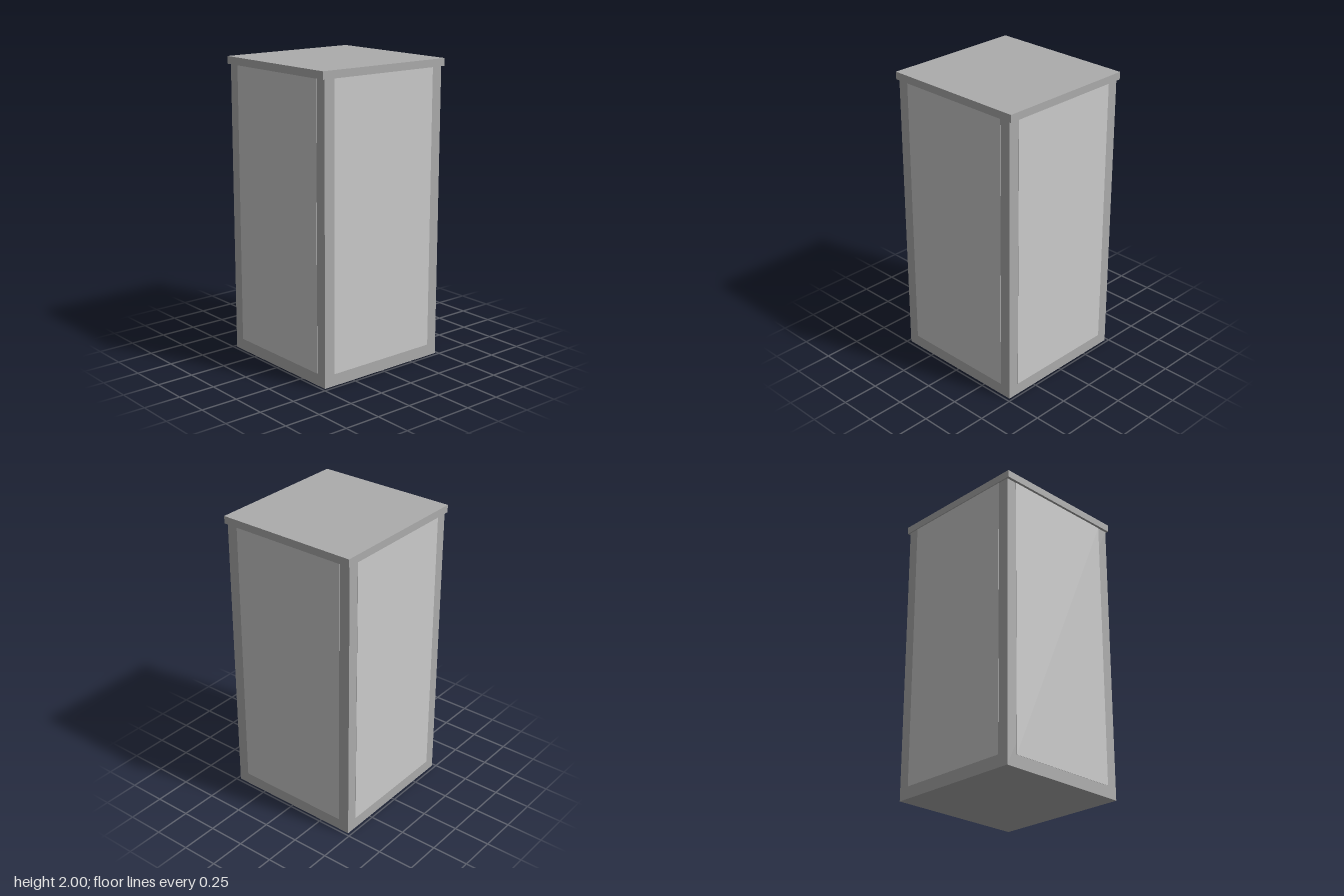
import * as THREE from 'three';

const W = 0.962, D = 0.956, H = 1.95; // cabinet body
const RIM = 0.076;                    // frame width round each panel

export function createModel() {
  const group = new THREE.Group();
  const frameMat = new THREE.MeshStandardMaterial({ color: 0xacacac });
  const panelMat = new THREE.MeshStandardMaterial({ color: 0xcccccc });

  const box = (name, size, pos, mat) => {
    const mesh = new THREE.Mesh(new THREE.BoxGeometry(...size), mat);
    mesh.name = name;
    mesh.position.set(...pos);
    group.add(mesh);
  };

  // Body and overhanging lid
  box('body', [W, H, D], [0, H / 2, 0], frameMat);
  box('lid', [1, 0.05, 0.974], [0, 1.975, 0], frameMat);

  // Pale panels, nearly flush with the frame, running up under the lid
  const thick = 0.01, proud = 0.002;
  const panelH = H - 0.08, y = 0.08 + panelH / 2;
  for (const s of [1, -1]) {
    box(s > 0 ? 'frontPanel' : 'backPanel', [W - 2 * RIM, panelH, thick],
      [0, y, s * (D / 2 + proud - thick / 2)], panelMat);
    box(s > 0 ? 'leftPanel' : 'rightPanel', [thick, panelH, D - 2 * RIM],
      [s * (W / 2 + proud - thick / 2), y, 0], panelMat);
  }
  return group;
}
